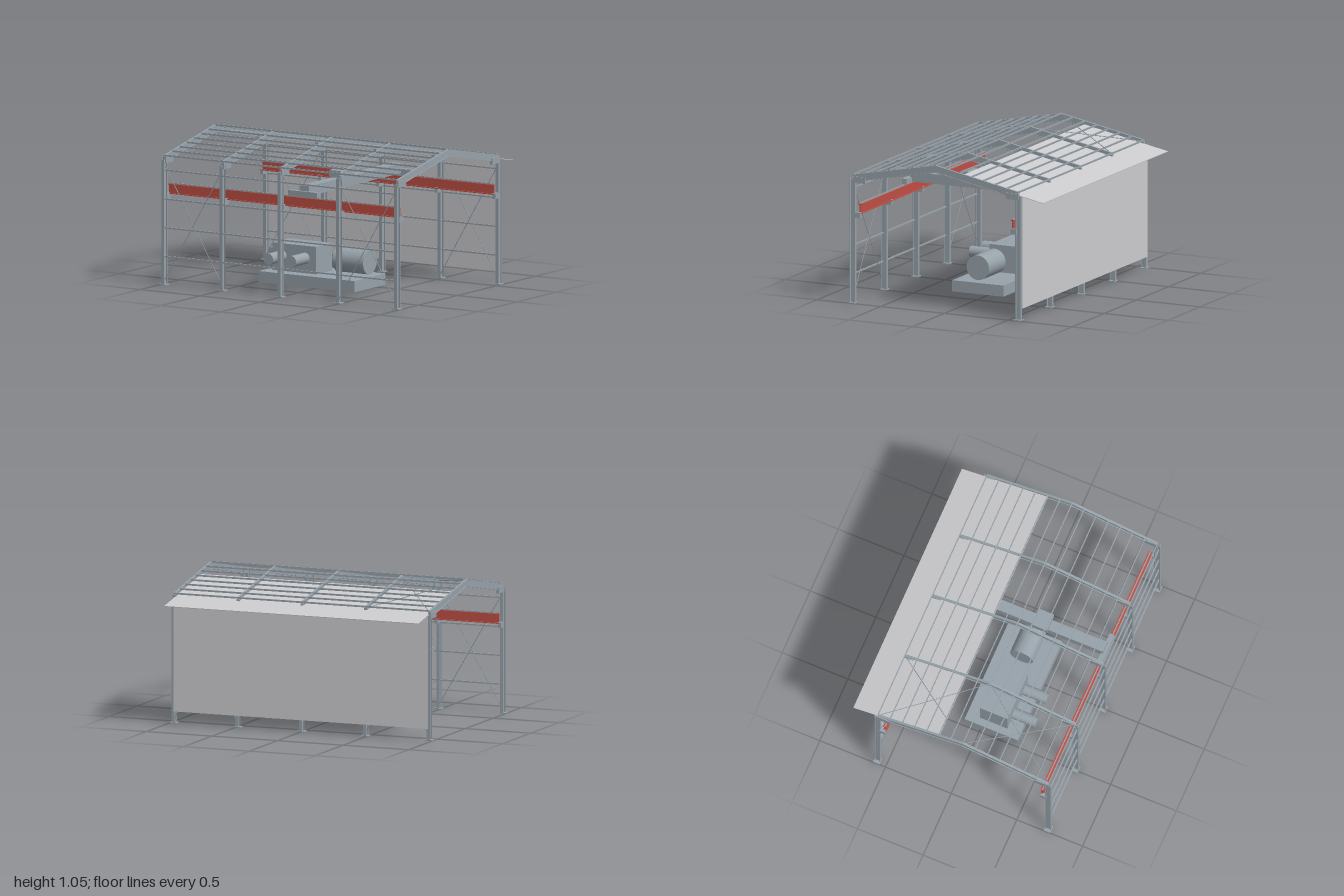
import * as THREE from 'three';

const FRAMES = [-0.973, -0.487, 0, 0.487, 0.973];
const MID = 0.08, HALF = 0.65;            // ridge position and half span in z
const EAVE = 0.919, RIDGE = 1.047;
const SLOPE = (RIDGE - EAVE) / HALF;
const LEN = 1.936;                        // length of purlins, girts and sheets
const roofY = z => RIDGE - SLOPE * Math.abs(z - MID);

export function createModel() {
  const model = new THREE.Group();
  model.name = 'craneHall';
  const mat = (name, color) => {
    const m = new THREE.MeshStandardMaterial({ color });
    m.name = name;
    return m;
  };
  const steel = mat('steelGrey', 0x97a2aa);
  const sheet = mat('sheetGrey', 0xcdcdd0);
  const red = mat('runwayRed', 0xc04f45);

  const add = (name, geometry, material, x = 0, y = 0, z = 0) => {
    const mesh = new THREE.Mesh(geometry, material);
    mesh.name = name;
    mesh.position.set(x, y, z);
    model.add(mesh);
    return mesh;
  };
  // box given by its limits on each axis
  const block = (name, [x0, x1], [y0, y1], [z0, z1], material = steel) =>
    add(name, new THREE.BoxGeometry(x1 - x0, y1 - y0, z1 - z0), material,
      (x0 + x1) / 2, (y0 + y1) / 2, (z0 + z1) / 2);
  // I-section, width in x, depth in y, running from z = 0 to z = length
  const iBeam = (w, d, tf, tw, length) => {
    const a = w / 2, b = d / 2, t = tw / 2, f = b - tf;
    const pts = [[-a, -b], [a, -b], [a, -f], [t, -f], [t, f], [a, f],
      [a, b], [-a, b], [-a, f], [-t, f], [-t, -f], [-a, -f]];
    const shape = new THREE.Shape(pts.map(p => new THREE.Vector2(...p)));
    return new THREE.ExtrudeGeometry(shape, { depth: length, bevelEnabled: false });
  };
  // thin tension rod between two points
  const rod = (name, a, b) => {
    const p = new THREE.Vector3(...a), q = new THREE.Vector3(...b);
    const dir = q.clone().sub(p);
    const mesh = add(name, new THREE.CylinderGeometry(0.0028, 0.0028, dir.length(), 6), steel);
    mesh.position.copy(p).add(q).multiplyScalar(0.5);
    mesh.quaternion.setFromUnitVectors(new THREE.Vector3(0, 1, 0), dir.normalize());
  };

  // portal frames
  const columnGeo = iBeam(0.024, 0.043, 0.005, 0.005, 0.887).rotateX(-Math.PI / 2);
  const rafterGeo = side => {
    const g = iBeam(0.017, 0.052, 0.005, 0.005, HALF);
    if (side < 0) g.translate(0, 0, -HALF);
    const p = g.attributes.position;
    for (let i = 0; i < p.count; i++) p.setY(i, p.getY(i) - SLOPE * Math.abs(p.getZ(i)));
    g.computeVertexNormals();
    return g;
  };
  for (const side of [1, -1]) {
    const z = MID + side * HALF;
    const rafter = rafterGeo(side);
    const span = (a, b) => [z - side * a, z - side * b].sort((m, n) => m - n);
    for (const x of FRAMES) {
      const w = [x - 0.0125, x + 0.0125];
      add('column', columnGeo, steel, x, 0, z);
      block('basePlate', [x - 0.027, x + 0.027], [0, 0.007], [z - 0.026, z + 0.026]);
      add('rafter', rafter, steel, x, RIDGE - 0.026, MID);
      block('eaveHaunch', [x - 0.011, x + 0.011], [0.862, 0.907], span(0, 0.097));
      block('runwayBracket', w, [0.613, 0.652], span(0.014, 0.06));
    }

    // wall girts
    for (const y of [0.203, 0.407, 0.611, 0.817])
      add('girt', new THREE.BoxGeometry(LEN, 0.01, 0.01), steel, 0, y, z + side * 0.011);

    // crossed wall bracing in the end bays
    for (const i of [0, 3]) {
      const a = FRAMES[i], b = FRAMES[i + 1];
      rod('wallBrace', [a, 0.03, z], [b, 0.855, z]);
      rod('wallBrace', [b, 0.03, z], [a, 0.855, z]);
    }

    // crossed roof bracing in one end bay
    const [a, b] = FRAMES;
    rod('roofBrace', [a, EAVE - 0.01, z], [b, RIDGE - 0.01, MID]);
    rod('roofBrace', [b, EAVE - 0.01, z], [a, RIDGE - 0.01, MID]);

    // crane runway beam with its rail
    const rz = z - side * 0.051;
    add('runwayBeam', iBeam(0.028, 0.07, 0.006, 0.006, LEN).rotateY(Math.PI / 2),
      red, -LEN / 2, 0.677, rz);
    add('craneRail', new THREE.BoxGeometry(LEN, 0.008, 0.008), steel, 0, 0.716, rz);
    block('endTruck', [0.04, 0.28], [0.72, 0.759], [rz - 0.019, rz + 0.019]);
  }

  // purlins, evenly spaced from eave to eave
  for (let i = -7; i <= 7; i++) {
    const z = MID + (i * HALF) / 7;
    add('purlin', new THREE.BoxGeometry(LEN, 0.012, 0.007), steel, 0, roofY(z) - 0.001, z);
  }

  // back wall cladding and sloping roof sheet with overhang
  block('wallSheet', [-LEN / 2, LEN / 2], [0.085, 0.888], [-0.597, -0.593], sheet);
  const z0 = -0.758, z1 = -0.103, sheetY = z => roofY(z) - 0.027;
  const roof = add('roofSheet',
    new THREE.BoxGeometry(LEN, 0.004, Math.hypot(z1 - z0, SLOPE * (z1 - z0))), sheet,
    0, sheetY((z0 + z1) / 2), (z0 + z1) / 2);
  roof.rotation.x = -Math.atan(SLOPE);

  // travelling crane
  block('craneBridge', [0.121, 0.201], [0.727, 0.796], [-0.518, 0.676]);
  block('hoistTrolley', [0.096, 0.226], [0.796, 0.845], [0.146, 0.259]);

  // machine set on its plinth
  block('plinth', [-0.48, 0.322], [0, 0.08], [-0.12, 0.282]);
  block('gearHousing', [-0.428, -0.063], [0.08, 0.275], [-0.024, 0.184]);
  add('motor', new THREE.CylinderGeometry(0.088, 0.088, 0.257, 40).rotateZ(Math.PI / 2),
    steel, 0.193, 0.188, 0.081);
  for (const x of [-0.34, -0.148])
    add('pump', new THREE.CylinderGeometry(0.04, 0.04, 0.175, 32).rotateX(Math.PI / 2),
      steel, x, 0.188, 0.283);

  return model;
}
